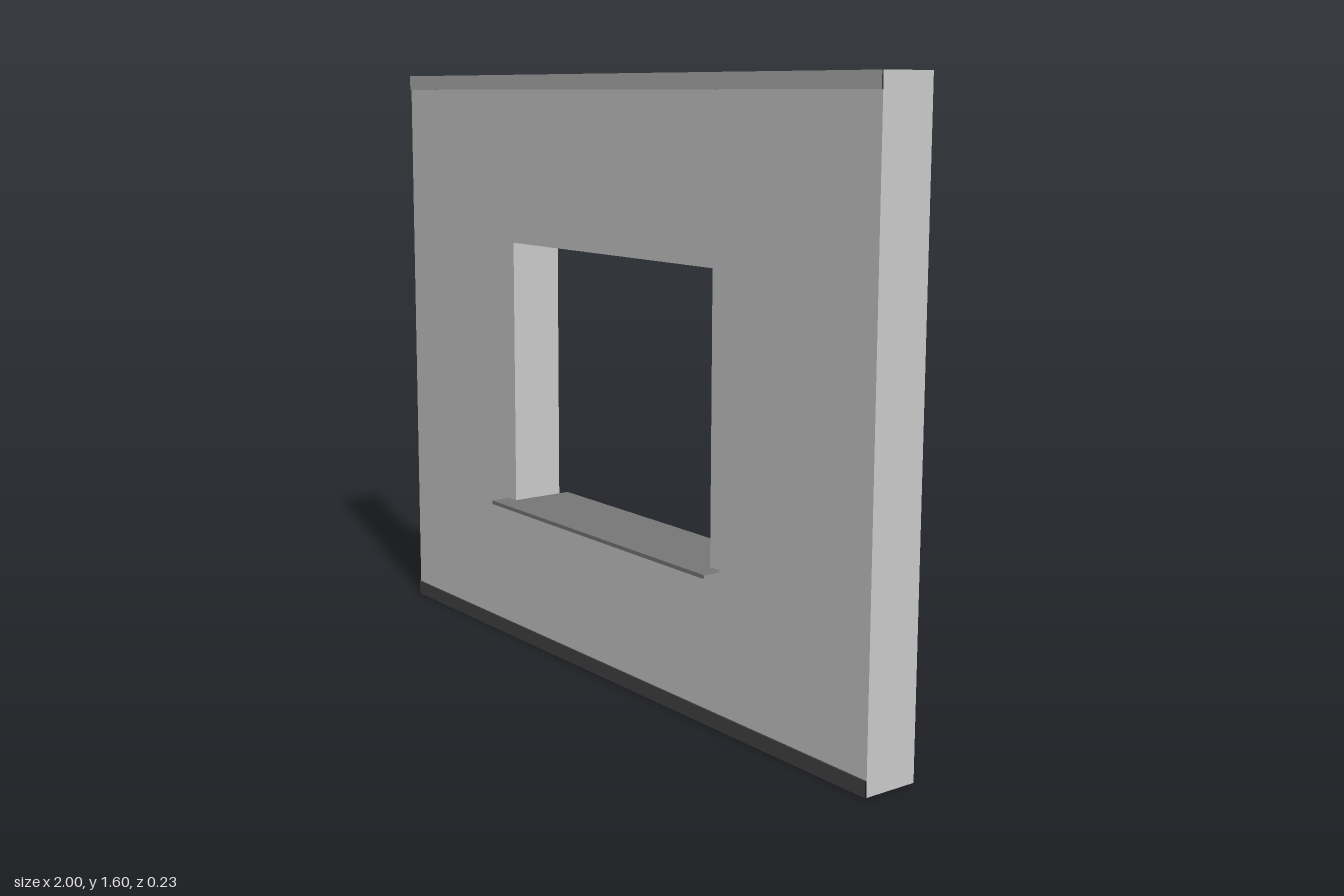
import * as THREE from 'three';

const W = 1, H = 1.6, BAND = 0.04;            // half width, height, edge band height
const FRONT = 0.061, BACK = -0.087;           // depth of the wall panel and its flanges
const HOLE = { x: 0.44, bottom: 0.402, top: 1.14 };

const material = (color) => new THREE.MeshStandardMaterial({ color, side: THREE.DoubleSide, flatShading: true });
const wallMat = material(0xcccccc);
const topMat = material(0xb0b0b0);
const baseMat = material(0x444444);
const sillMat = material(0x787878);

// Sheet folded along a [z, y] profile, spanning from -halfWidth to +halfWidth in x
function foldedSheet(name, profile, halfWidth, mat) {
  const pos = [], index = [];
  for (let i = 0; i < profile.length - 1; i++) {
    for (const [z, y] of [profile[i], profile[i + 1]]) pos.push(-halfWidth, y, z, halfWidth, y, z);
    const a = i * 4;
    index.push(a, a + 2, a + 1, a + 1, a + 2, a + 3);
  }
  const g = new THREE.BufferGeometry();
  g.setAttribute('position', new THREE.Float32BufferAttribute(pos, 3));
  g.setIndex(index);
  g.computeVertexNormals();
  const mesh = new THREE.Mesh(g, mat);
  mesh.name = name;
  return mesh;
}

// Upright sheet facing sideways at a given x
function sideSheet(name, x, y0, y1) {
  const g = new THREE.PlaneGeometry(FRONT - BACK, y1 - y0).rotateY(Math.sign(x) * Math.PI / 2);
  const mesh = new THREE.Mesh(g, wallMat);
  mesh.position.set(x, (y0 + y1) / 2, (FRONT + BACK) / 2);
  mesh.name = name;
  return mesh;
}

function rectangle(path, x, y0, y1) {
  path.moveTo(-x, y0);
  path.lineTo(x, y0);
  path.lineTo(x, y1);
  path.lineTo(-x, y1);
  path.closePath();
  return path;
}

export function createModel() {
  const model = new THREE.Group();
  model.name = 'wallWithWindowOpening';

  // Wall panel with the window opening
  const shape = rectangle(new THREE.Shape(), W, BAND, H - BAND);
  shape.holes.push(rectangle(new THREE.Path(), HOLE.x, HOLE.bottom, HOLE.top));
  const panel = new THREE.Mesh(new THREE.ShapeGeometry(shape), wallMat);
  panel.position.z = FRONT;
  panel.name = 'wallPanel';
  model.add(panel);

  // Bands along the top and base, standing slightly proud of the panel
  const proud = FRONT + 0.004;
  model.add(foldedSheet('topBand', [[proud, H], [proud, H - BAND], [FRONT, H - BAND]], W, topMat));
  model.add(foldedSheet('baseBand', [[FRONT, BAND], [proud, BAND], [proud, 0]], W, baseMat));

  // Side flanges and window jambs
  for (const [side, s] of [['left', 1], ['right', -1]]) {
    model.add(sideSheet(side + 'Flange', s * W, 0, H));
    model.add(sideSheet(side + 'Jamb', s * HOLE.x, HOLE.bottom, HOLE.top));
  }

  // Head and bottom of the window reveal
  model.add(foldedSheet('revealHead', [[BACK, HOLE.top], [FRONT, HOLE.top]], HOLE.x, wallMat));
  model.add(foldedSheet('revealBottom', [[BACK, HOLE.bottom], [FRONT, HOLE.bottom]], HOLE.x, wallMat));

  // Sill: a narrow inner board, and a wider outer nosing with a drip lip
  model.add(foldedSheet('innerSill', [[-0.116, 0.406], [FRONT, 0.406]], HOLE.x, sillMat));
  model.add(foldedSheet('sillNosing',
    [[FRONT, 0.406], [0.116, 0.405], [0.116, 0.395], [0.112, 0.395], [0.112, 0.402], [FRONT, 0.402]], 0.48, sillMat));

  return model;
}
